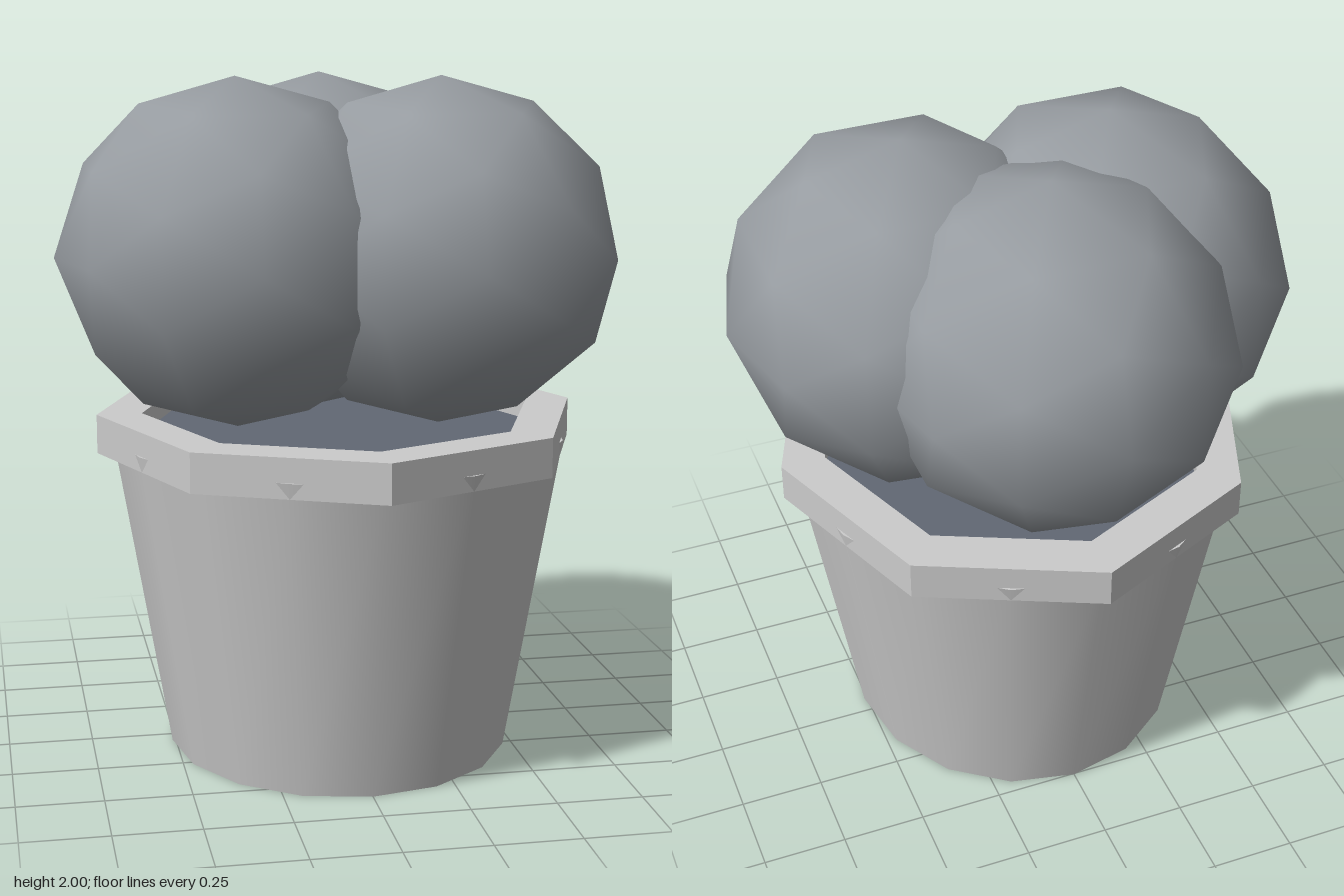
import * as THREE from 'three';

const POT_Z = 0.053;   // pot axis
const DEPTH = 1.09;    // everything is a little deeper than wide

export function createModel() {
  const model = new THREE.Group();
  model.name = 'pottedCactus';

  const add = (name, geometry, material, parent = model) => {
    const mesh = new THREE.Mesh(geometry, material);
    mesh.name = name;
    parent.add(mesh);
    return mesh;
  };

  const clay = new THREE.MeshStandardMaterial({ color: 0xcccccc });
  const clayFlat = new THREE.MeshStandardMaterial({ color: 0xcccccc, flatShading: true });
  const soilMat = new THREE.MeshStandardMaterial({ color: 0x616874 });
  const plantMat = new THREE.MeshStandardMaterial({ color: 0x979ca1 });

  const pot = new THREE.Group();
  pot.name = 'pot';
  pot.position.z = POT_Z;
  pot.scale.z = DEPTH;
  model.add(pot);

  // Tapered body, whose top corners just break through the rim
  add('potBody', new THREE.CylinderGeometry(0.671, 0.51, 0.95, 16), clay, pot).position.y = 0.475;

  // Octagonal rim: a closed rectangular section turned in eight steps
  const section = [[0.718, 0.905], [0.718, 1.02], [0.585, 1.02], [0.585, 0.905], [0.718, 0.905]];
  add('potRim', new THREE.LatheGeometry(section.map(([x, y]) => new THREE.Vector2(x, y)), 8), clayFlat, pot);

  // Soil surface inside the rim
  const soil = new THREE.CircleGeometry(0.64, 16).rotateX(-Math.PI / 2);
  add('soil', soil, soilMat, pot).position.y = 0.96;

  // Three overlapping plant balls
  const balls = [['rightBall', -0.3, 0.05], ['leftBall', 0.3, 0.1], ['backBall', 0, -0.255]];
  for (const [name, x, z] of balls) {
    const ball = add(name, new THREE.IcosahedronGeometry(1, 1), plantMat);
    ball.scale.set(0.53, 0.515, 0.575);
    ball.position.set(x, 1.485, z);
  }

  return model;
}
